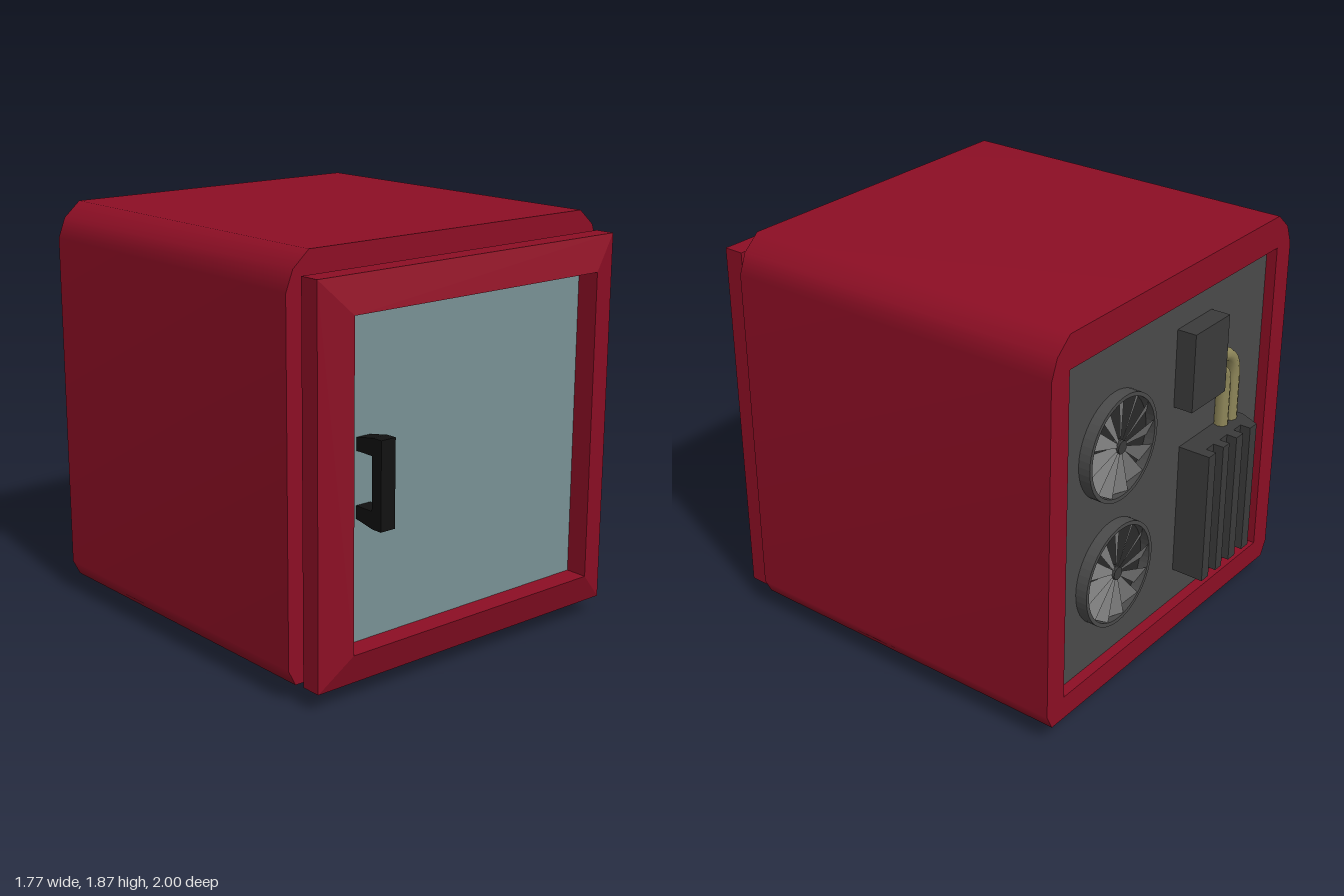
import * as THREE from 'three';
import { mergeVertices } from 'three/addons/utils/BufferGeometryUtils.js';

const mat = (color, opts = {}) => new THREE.MeshStandardMaterial({ color, ...opts });
const RED = mat(0x8c0e24), GLASS = mat(0x789194), BLACK = mat(0x111111);
const DARK = mat(0x3b3b3b, { flatShading: true }), PANEL = mat(0x4a4a4a);
const BLADE = mat(0x7c7c7c, { side: THREE.DoubleSide });
const STEEL = mat(0xcccccc), BRASS = mat(0x8f875a);

function add(parent, name, geometry, material, x = 0, y = 0, z = 0) {
  const mesh = new THREE.Mesh(geometry, material);
  mesh.name = name;
  mesh.position.set(x, y, z);
  parent.add(mesh);
  return mesh;
}

// Box given by its limits
function block(parent, name, material, x0, x1, y0, y1, z0, z1) {
  return add(parent, name, new THREE.BoxGeometry(x1 - x0, y1 - y0, z1 - z0), material,
    (x0 + x1) / 2, (y0 + y1) / 2, (z0 + z1) / 2);
}

const polygon = pts => new THREE.Shape(pts.map(p => new THREE.Vector2(...p)));

// Flat-faced skin through a series of rectangles [x0, x1, y0, y1, z]
function rectLoft(rings) {
  const pos = [];
  const corners = ([x0, x1, y0, y1, z]) => [[x0, y0, z], [x1, y0, z], [x1, y1, z], [x0, y1, z]];
  for (let r = 0; r + 1 < rings.length; r++) {
    const a = corners(rings[r]), b = corners(rings[r + 1]);
    for (let i = 0; i < 4; i++) {
      const j = (i + 1) % 4;
      for (const p of [a[i], a[j], b[j], a[i], b[j], b[i]]) pos.push(...p);
    }
  }
  const geo = new THREE.BufferGeometry();
  geo.setAttribute('position', new THREE.Float32BufferAttribute(pos, 3));
  geo.computeVertexNormals();
  return geo;
}

// Side walls of an extrusion, smoothed around the outline
function smoothWalls(shape, depth) {
  const full = new THREE.ExtrudeGeometry(shape, { depth, bevelEnabled: false });
  const { start, count } = full.groups[1];
  const pos = full.attributes.position.array.slice(start * 3, (start + count) * 3);
  let geo = new THREE.BufferGeometry();
  geo.setAttribute('position', new THREE.Float32BufferAttribute(pos, 3));
  geo = mergeVertices(geo);
  geo.computeVertexNormals();
  return geo;
}

function buildCabinet(root) {
  const g = new THREE.Group();
  g.name = 'cabinet';
  root.add(g);
  const half = [[0.85, 0.08], [0.885, 0.15], [0.885, 1.71], [0.85, 1.8], [0.77, 1.87]];
  const outline = [...half, ...half.map(([x, y]) => [-x, y]).reverse()];
  const back = -0.895, front = 0.765;
  add(g, 'cabinetShell', smoothWalls(polygon(outline), front - back), RED, 0, 0, back);
  add(g, 'cabinetFront', new THREE.ShapeGeometry(polygon(outline)), RED, 0, 0, front);

  // Back rim around the recessed panel
  const rim = polygon(outline);
  rim.holes.push(new THREE.Path(
    [[-0.77, 0.19], [-0.77, 1.72], [0.77, 1.72], [0.77, 0.19]].map(p => new THREE.Vector2(...p))));
  add(g, 'backRim', new THREE.ShapeGeometry(rim), RED, 0, 0, back).rotation.y = Math.PI;
  add(g, 'backRecess', rectLoft([[-0.77, 0.77, 0.19, 1.72, -0.845], [-0.77, 0.77, 0.19, 1.72, back]]),
    mat(0x8c0e24, { side: THREE.DoubleSide }));
  block(g, 'backPanel', PANEL, -0.77, 0.77, 0.19, 1.72, -0.845, -0.825);

  // Tapered feet
  for (const x of [-0.525, 0.505]) {
    for (const z of [0.497, -0.612]) {
      const foot = new THREE.CylinderGeometry(0.118 * Math.SQRT2, 0.077 * Math.SQRT2, 0.08, 4);
      foot.rotateY(Math.PI / 4).scale(1, 1, 1.16);
      add(g, 'foot', foot, DARK, x, 0.04, z);
    }
  }
}

function buildDoor(root) {
  const g = new THREE.Group();
  g.name = 'door';
  root.add(g);
  const outer = [-0.845, 0.83, 0.083, 1.78], inner = [-0.7, 0.68, 0.23, 1.63];
  add(g, 'doorFrame', rectLoft([
    [...inner, 0.81], [...outer, 0.81], [...outer, 0.905], [...inner, 0.955], [...inner, 0.81],
  ]), RED);
  block(g, 'doorWindow', GLASS, ...inner, 0.815, 0.85);
  block(g, 'doorSeal', BLACK, -0.775, 0.76, 0.155, 1.71, 0.765, 0.812);

  // Bracket handle
  const bracket = polygon([[0.845, 0.765], [0.95, 0.745], [1, 0.745], [1, 1.125],
    [0.95, 1.125], [0.845, 1.105], [0.845, 1.05], [0.945, 1.05], [0.945, 0.82], [0.845, 0.82]]);
  const handle = new THREE.ExtrudeGeometry(bracket, { depth: 0.075, bevelEnabled: false });
  handle.rotateY(-Math.PI / 2);
  add(g, 'doorHandle', handle, BLACK, -0.525, 0, 0);

  for (const [y0, y1] of [[0.41, 0.72], [1.19, 1.505]]) {
    add(g, 'hinge', new THREE.CylinderGeometry(0.03, 0.03, y1 - y0, 8), STEEL,
      0.792, (y0 + y1) / 2, 0.787);
    block(g, 'hingeLeaf', STEEL, 0.755, 0.792, y0, y1, 0.766, 0.81);
  }
}

function buildFan(parent, x, y) {
  const fan = new THREE.Group();
  fan.name = 'fan';
  fan.position.set(x, y, 0);
  parent.add(fan);
  const ring = new THREE.Shape().absarc(0, 0, 0.24, 0, Math.PI * 2);
  ring.holes.push(new THREE.Path().absarc(0, 0, 0.222, 0, Math.PI * 2));
  add(fan, 'fanRing', new THREE.ExtrudeGeometry(ring,
    { depth: 0.055, bevelEnabled: false, curveSegments: 24 }), PANEL, 0, 0, -0.9);
  add(fan, 'fanBase', new THREE.CylinderGeometry(0.225, 0.225, 0.01, 24).rotateX(Math.PI / 2),
    mat(0x2a2a2a), 0, 0, -0.85);
  add(fan, 'fanHub', new THREE.CylinderGeometry(0.03, 0.03, 0.04, 12).rotateX(Math.PI / 2),
    DARK, 0, 0, -0.872);
  const blade = new THREE.ShapeGeometry(
    polygon([[0.02, -0.008], [0.218, -0.045], [0.218, 0.045], [0.02, 0.008]]));
  blade.rotateX(0.4);
  for (let i = 0; i < 12; i++) {
    add(fan, 'fanBlade', blade, BLADE, 0, 0, -0.88).rotation.z = i * Math.PI / 6;
  }
}

function buildCooling(root) {
  const g = new THREE.Group();
  g.name = 'coolingUnit';
  root.add(g);
  for (const y of [0.61, 1.22]) buildFan(g, 0.39, y);
  block(g, 'compressor', DARK, -0.325, -0.06, 1.205, 1.57, -0.937, -0.84);

  // Finned heat sink: plan outline as x and distance behind the centre
  const plan = [[-0.12, 0.84], [-0.12, 1]];
  for (const x of [-0.175, -0.285, -0.4]) {
    plan.push([x, 1], [x, 0.95], [x - 0.06, 0.95], [x - 0.06, 1]);
  }
  plan.push([-0.515, 1], [-0.56, 0.9], [-0.56, 0.84]);
  const sink = new THREE.ExtrudeGeometry(polygon(plan), { depth: 0.635, bevelEnabled: false });
  add(g, 'heatSink', sink.rotateX(-Math.PI / 2), DARK, 0, 0.35, 0);

  // Bent pipes from compressor to heat sink
  for (const s of [0, 0.075]) {
    const v = (x, y) => new THREE.Vector3(x, y, -0.872);
    const path = new THREE.CurvePath();
    const x = -0.42 - s, y = 1.265 + s, r = 0.07 + s;
    path.add(new THREE.LineCurve3(v(-0.3, y), v(x + r, y)));
    path.add(new THREE.QuadraticBezierCurve3(v(x + r, y), v(x, y), v(x, y - r)));
    path.add(new THREE.LineCurve3(v(x, y - r), v(x, 0.97)));
    add(g, 'coolantPipe', new THREE.TubeGeometry(path, 24, 0.033, 8), BRASS);
  }
}

export function createModel() {
  const root = new THREE.Group();
  root.name = 'miniFridge';
  buildCabinet(root);
  buildDoor(root);
  buildCooling(root);
  return root;
}
